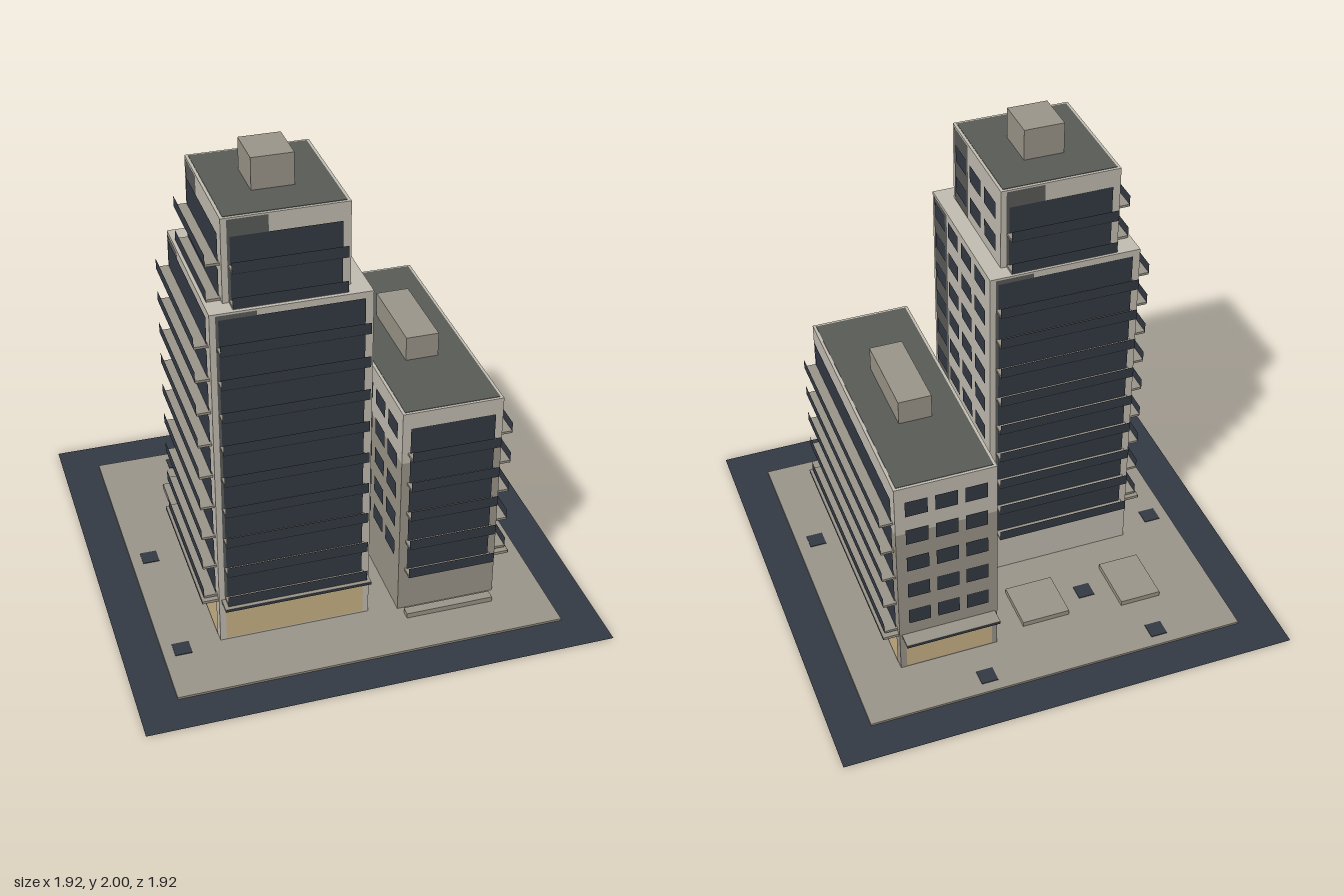
import * as THREE from 'three';

const mat = (name, color, side = THREE.FrontSide) => {
  const m = new THREE.MeshStandardMaterial({ color, side });
  m.name = name;
  return m;
};

export function createModel() {
  const root = new THREE.Group();
  root.name = 'cityBlock';
  const light = mat('pale concrete', 0xc4beb2);
  const stone = mat('grey stone', 0x9c968a);
  const slate = mat('slate grey', 0x5a5c58);
  const dark = mat('dark glass', 0x343a44, THREE.DoubleSide);
  const gold = mat('lobby gold', 0xcab486);

  // box given by its min and max on each axis
  const box = (name, m, x0, x1, y0, y1, z0, z1, parent = root) => {
    const mesh = new THREE.Mesh(new THREE.BoxGeometry(x1 - x0, y1 - y0, z1 - z0), m);
    mesh.position.set((x0 + x1) / 2, (y0 + y1) / 2, (z0 + z1) / 2);
    mesh.name = name;
    parent.add(mesh);
    return mesh;
  };
  // upright sheet centred on x, at distance z from the wall
  const sheet = (name, m, x, w, y0, y1, z, parent) => {
    const mesh = new THREE.Mesh(new THREE.PlaneGeometry(w, y1 - y0), m);
    mesh.position.set(x, (y0 + y1) / 2, z);
    mesh.name = name;
    parent.add(mesh);
  };

  // group on one wall of a block: local x runs left to right seen from outside, z points out
  const turns = { front: 0, left: Math.PI / 2, back: Math.PI, right: -Math.PI / 2 };
  const wall = (b, side) => {
    const g = new THREE.Group();
    const cx = (b.x0 + b.x1) / 2, cz = (b.z0 + b.z1) / 2;
    g.name = `${b.name}${side}Wall`;
    g.rotation.y = turns[side];
    if (side === 'front') g.position.set(cx, 0, b.z1);
    if (side === 'back') g.position.set(cx, 0, b.z0);
    if (side === 'left') g.position.set(b.x1, 0, cz);
    if (side === 'right') g.position.set(b.x0, 0, cz);
    g.userData.width = side === 'front' || side === 'back' ? b.x1 - b.x0 : b.z1 - b.z0;
    root.add(g);
    return g;
  };

  // one wall: glazed balconies, or separate windows when columns > 0
  const dress = (b, side, columns) => {
    const g = wall(b, side), w = g.userData.width;
    if (b.strip) sheet('cornerStrip', slate, -w / 2 + 0.1, 0.155, b.strip[0], b.strip[1], 0.002, g);
    for (let i = 0; i < b.floors; i++) {
      const y = b.first + i * b.pitch;
      if (columns) {
        const step = (w - 0.05) / columns;
        for (let c = 0; c < columns; c++)
          sheet('window', dark, (c - (columns - 1) / 2) * step, step * 0.75, y + 0.047, y + 0.121, 0.005, g);
      } else {
        const bw = w - 0.05;
        sheet('windowBand', dark, 0, bw - 0.015, y, y + 0.12, 0.005, g);
        box('balconySlab', stone, -bw / 2, bw / 2, y - 0.005, y + 0.005, 0, 0.054, g);
        sheet('balconyRail', dark, 0, bw, y - 0.003, y + 0.043, 0.055, g);
      }
    }
  };

  // gold shopfront with a canopy above
  const lobby = (b, side, top) => {
    const g = wall(b, side), w = g.userData.width;
    sheet('lobbyFront', gold, 0, w - 0.05, 0.02, top, 0.004, g);
    box('canopy', stone, -w / 2 + 0.01, w / 2 - 0.01, top, top + 0.012, 0, 0.065, g);
    sheet('canopyEdge', dark, 0, w - 0.02, top, top + 0.012, 0.066, g);
  };

  const roof = (b) => {
    const r = box('roof', slate, b.x0 + 0.012, b.x1 - 0.012, b.y1 - 0.004, b.y1 + 0.002, b.z0 + 0.012, b.z1 - 0.012);
    r.name = `${b.name}Roof`;
  };

  // street, plaza, planters and paving marks
  const street = new THREE.Mesh(new THREE.PlaneGeometry(1.92, 1.92), dark);
  street.rotation.x = -Math.PI / 2;
  street.name = 'street';
  root.add(street);
  box('plaza', stone, -0.8, 0.8, 0.001, 0.01, -0.8, 0.8);
  box('planter', stone, -0.555, -0.38, 0.01, 0.032, -0.545, -0.305);
  box('planter', stone, -0.155, 0.05, 0.01, 0.032, -0.515, -0.305);
  box('frontStep', stone, 0.2, 0.57, 0.01, 0.032, 0.575, 0.615);
  for (const [x, z] of [[-0.46, -0.72], [0.285, -0.72], [-0.265, -0.41], [-0.72, -0.075], [-0.72, 0.53], [0.715, 0.285]])
    box('pavingSquare', dark, x - 0.035, x + 0.035, 0.01, 0.013, z - 0.035, z + 0.035);

  // tall tower
  const tower = { name: 'tower', x0: -0.56, x1: 0.062, z0: -0.15, z1: 0.525, y1: 1.525,
    floors: 9, first: 0.225, pitch: 0.1445, strip: [0.21, 1.518] };
  box('towerBody', light, tower.x0, tower.x1, 0.01, tower.y1, tower.z0, tower.z1);
  ['front', 'back', 'right'].forEach((s) => dress(tower, s, 0));
  dress(tower, 'left', 4);
  lobby(tower, 'front', 0.203);
  lobby(tower, 'right', 0.203);

  // set-back crown
  const crown = { name: 'crown', x0: -0.492, x1: -0.005, z0: -0.085, z1: 0.455, y1: 1.868,
    floors: 2, first: 1.53, pitch: 0.1445, strip: [1.53, 1.862] };
  box('crownBody', light, crown.x0, crown.x1, tower.y1, crown.y1, crown.z0, crown.z1);
  ['front', 'back', 'right'].forEach((s) => dress(crown, s, 0));
  dress(crown, 'left', 3);
  roof(crown);
  box('crownPlantRoom', stone, -0.33, -0.165, crown.y1, 2, 0.093, 0.275);

  // low slab block, stone below and pale above
  const slab = { name: 'slabBlock', x0: 0.182, x1: 0.597, z0: -0.558, z1: 0.547, y1: 0.967,
    floors: 5, first: 0.21, pitch: 0.1425 };
  box('slabBlockLower', stone, slab.x0, slab.x1, 0.01, 0.737, slab.z0, slab.z1);
  box('slabBlockUpper', light, slab.x0, slab.x1, 0.737, slab.y1, slab.z0, slab.z1);
  dress(slab, 'front', 0);
  dress(slab, 'left', 0);
  dress(slab, 'back', 3);
  dress(slab, 'right', 7);
  lobby(slab, 'left', 0.184);
  lobby(slab, 'back', 0.184);
  roof(slab);
  box('slabPlantRoom', stone, 0.32, 0.457, slab.y1, 1.073, -0.192, 0.182);

  return root;
}
